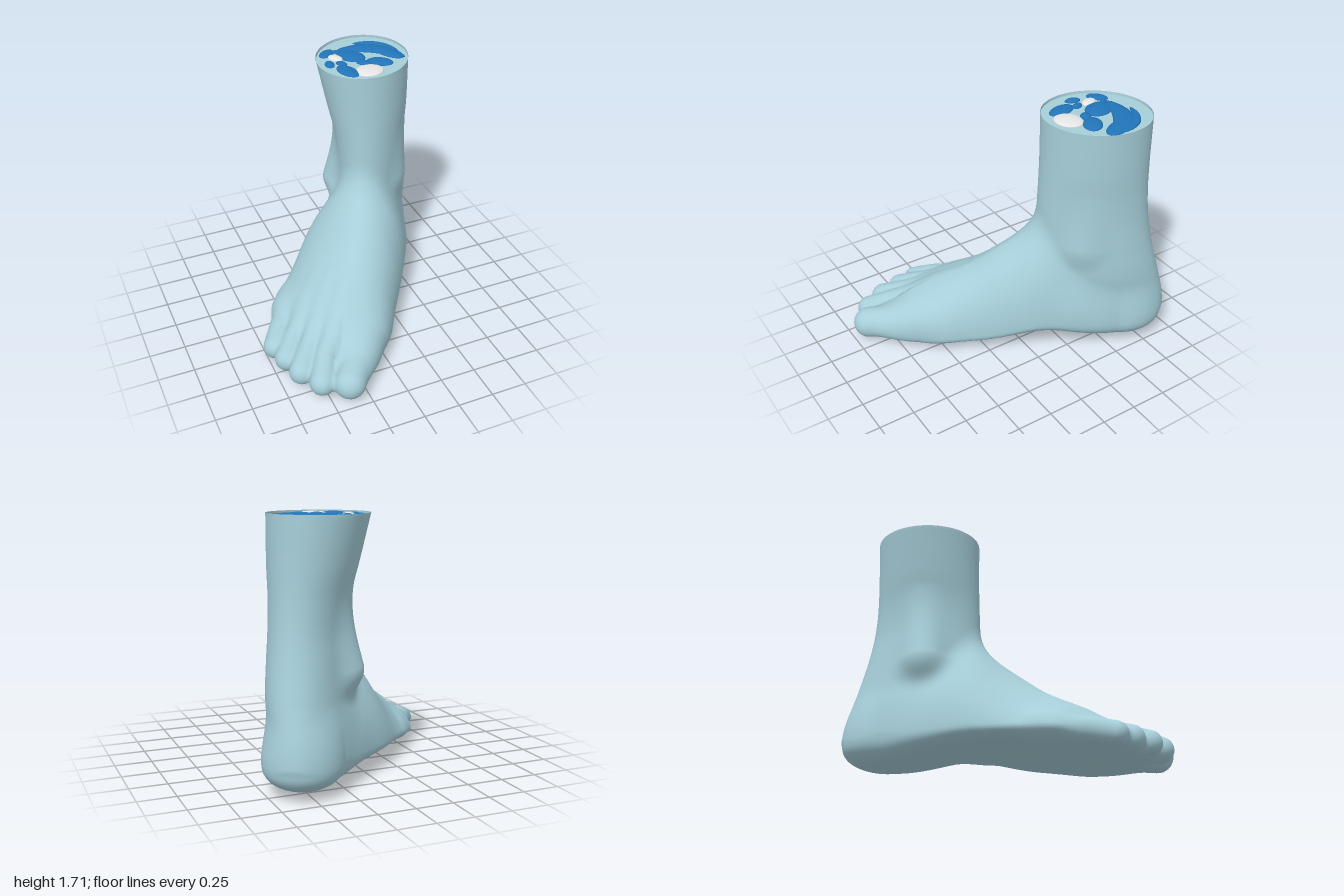
import * as THREE from 'three';

// The foot is shaped in its own frame (x = inner side, y = up, z = toward the toes),
// then turned to point diagonally.
const TURN = -0.609;
const TOP = 1.71;
const CUT = 1.692;

const skin = new THREE.MeshStandardMaterial({ color: 0xa6ced9, side: THREE.DoubleSide });
skin.name = 'skin';
const muscle = new THREE.MeshStandardMaterial({ color: 0x2174b8 });
muscle.name = 'muscleBlue';
const bone = new THREE.MeshStandardMaterial({ color: 0xe6e6e6 });
bone.name = 'boneWhite';

// Smooth curve through [position, value] pairs, constant past its ends
function profile(pts) {
  const n = pts.length - 1;
  const slope = pts.map((_, i) => {
    const a = pts[Math.max(0, i - 1)], b = pts[Math.min(n, i + 1)];
    return (b[1] - a[1]) / (b[0] - a[0]);
  });
  return (x) => {
    if (x <= pts[0][0]) return pts[0][1];
    if (x >= pts[n][0]) return pts[n][1];
    let i = 0;
    while (x > pts[i + 1][0]) i++;
    const w = pts[i + 1][0] - pts[i][0], t = (x - pts[i][0]) / w, t2 = t * t, t3 = t2 * t;
    return (2 * t3 - 3 * t2 + 1) * pts[i][1] + (t3 - 2 * t2 + t) * w * slope[i]
      + (3 * t2 - 2 * t3) * pts[i + 1][1] + (t3 - t2) * w * slope[i + 1];
  };
}

function blend(a, b, k) {
  const h = Math.max(k - Math.abs(a - b), 0) / k;
  return Math.min(a, b) - h * h * k / 4;
}

// Foot outline, instep and sole along the length
const inner = profile([[-0.85, 0.27], [-0.7, 0.31], [-0.5, 0.35], [-0.2, 0.375], [0.2, 0.38], [0.43, 0.39], [0.6, 0.36], [1, 0.33]]);
const outer = profile([[-0.85, -0.25], [-0.53, -0.34], [-0.28, -0.42], [-0.05, -0.455], [0.2, -0.49], [0.33, -0.5], [0.5, -0.46], [0.8, -0.45]]);
const ridge = profile([[-0.85, 0], [-0.3, 0.04], [0.2, 0.06], [0.8, 0.09]]);
const instep = profile([[-1.1, 0.52], [-0.8, 0.6], [-0.5, 0.72], [-0.25, 0.8], [-0.05, 0.735], [0.2, 0.565], [0.45, 0.435], [0.68, 0.33], [0.85, 0.25], [1, 0.2]]);
const widest = profile([[-0.85, 0.2], [-0.3, 0.17], [0.2, 0.13], [0.6, 0.11], [1, 0.1]]);
const sole = profile([[-1.1, 0.03], [-0.8, 0.03], [-0.3, 0.06], [0.2, 0.035], [0.55, 0], [1, 0.03]]);

function footBody(v, y, u) {
  const c = ridge(u), dv = v - c;
  const side = THREE.MathUtils.smoothstep(v, -0.32, 0.4);
  const arch = side * Math.exp(-(((u + 0.33) / 0.3) ** 2));
  const mid = widest(u) + 0.08 * arch, low = sole(u) + 0.07 * arch;
  const heel = Math.max(0, -0.85 - u), front = Math.max(0, u - 0.42 * v - 0.48);
  const s = Math.hypot(dv / (dv > 0 ? inner(u) - c : c - outer(u)), heel / 0.32, front / 0.4);
  const dy = y - mid;
  const t = dy > 0 ? dy / (instep(u) - mid) : -dy / (mid - low);
  const p = dy < 0 ? 2.4 : dv > 0 ? 2 : 2 - 0.7 * THREE.MathUtils.smoothstep(u, -0.6, 0.1);
  const k = (s ** p + t ** p) ** (1 / p) + 1e-4;
  return (Math.hypot(dv, dy, heel, front) + 1e-4) * (1 - 1 / k);
}

// Oval leg sections by height
const legU = profile([[0.2, -0.69], [0.4, -0.677], [0.6, -0.66], [0.8, -0.645], [1, -0.628], [1.2, -0.6225], [1.4, -0.623], [TOP, -0.624]]);
const legV = profile([[0.2, 0], [0.4, 0.01], [0.6, 0.03], [0.8, 0.035], [1, 0.035], [1.2, 0.023], [1.4, 0.001], [TOP, -0.035]]);
const legA = profile([[0.2, 0.45], [0.4, 0.465], [0.6, 0.435], [0.8, 0.4], [1, 0.38], [1.2, 0.368], [1.4, 0.364], [TOP, 0.366]]);
const legB = profile([[0.2, 0.22], [0.4, 0.245], [0.6, 0.25], [0.8, 0.245], [1, 0.24], [1.2, 0.253], [1.4, 0.284], [TOP, 0.323]]);

function leg(v, y, u) {
  const du = u - legU(y), dv = v - legV(y);
  const k = Math.hypot(du / legA(y), dv / legB(y)) + 1e-4;
  return Math.max((Math.hypot(du, dv) + 1e-4) * (1 - 1 / k), 0.25 - y);
}

// Rounded, tapering segment between two [v, y, u, radius] joints
function segment(v, y, u, a, b) {
  const x = b[0] - a[0], h = b[1] - a[1], z = b[2] - a[2];
  const t = THREE.MathUtils.clamp(((v - a[0]) * x + (y - a[1]) * h + (u - a[2]) * z) / (x * x + h * h + z * z), 0, 1);
  return Math.hypot(v - a[0] - t * x, y - a[1] - t * h, u - a[2] - t * z) - a[3] - t * (b[3] - a[3]);
}

// Toes from metatarsal root to knuckle to tip, big toe first
const toes = [
  [[0.215, 0.19, 0.5, 0.14], [0.21, 0.14, 0.78, 0.112], [0.205, 0.118, 0.94, 0.108]],
  [[0.05, 0.385, 0.35, 0.06], [0.01, 0.17, 0.78, 0.08], [0.025, 0.105, 0.96, 0.088]],
  [[-0.06, 0.38, 0.25, 0.06], [-0.12, 0.16, 0.71, 0.08], [-0.135, 0.1, 0.885, 0.086]],
  [[-0.14, 0.36, 0.15, 0.06], [-0.25, 0.145, 0.62, 0.08], [-0.265, 0.095, 0.775, 0.085]],
  [[-0.38, 0.14, 0.2, 0.09], [-0.375, 0.12, 0.52, 0.085], [-0.375, 0.09, 0.675, 0.082]],
];
const outerAnkle = [[-0.11, 1.18, -0.62, 0.07], [-0.195, 0.73, -0.595, 0.122]];
const innerAnkle = [[0.12, 1.15, -0.6, 0.08], [0.155, 0.82, -0.57, 0.11]];

function field(v, y, u) {
  // A wide fillet where the instep meets the shin, a tight one behind
  const fillet = 0.08 + 0.2 * THREE.MathUtils.smoothstep(u, -0.55, -0.2);
  let d = blend(footBody(v, y, u), leg(v, y, u), fillet);
  d = blend(d, segment(v, y, u, ...outerAnkle), 0.14);
  d = blend(d, segment(v, y, u, ...innerAnkle), 0.12);
  let toeD = 1;
  for (const [root, knuckle, tip] of toes) {
    const one = Math.min(segment(v, y, u, root, knuckle), segment(v, y, u, knuckle, tip));
    toeD = blend(toeD, one, 0.035);
  }
  return blend(d, toeD, 0.07);
}

// Wraps a smooth skin of quads around the region where the field is negative
function skinGeometry() {
  const h = 0.018, min = [-0.6, -0.05, -1.26];
  const n = [62, 101, 134], step = [1, n[0], n[0] * n[1]];
  const values = new Float32Array(n[0] * n[1] * n[2]);
  const at = (i, j, k) => i + j * step[1] + k * step[2];
  const each = (cut, fn) => {
    for (let k = 0; k < n[2] - cut; k++)
      for (let j = 0; j < n[1] - cut; j++)
        for (let i = 0; i < n[0] - cut; i++) fn(i, j, k, at(i, j, k));
  };
  each(0, (i, j, k, id) => { values[id] = field(min[0] + i * h, min[1] + j * h, min[2] + k * h); });

  const pos = [], nor = [], index = [], vertexOf = new Int32Array(values.length).fill(-1);
  const normal = new THREE.Vector3(), e = 0.012;
  each(1, (i, j, k, id) => {
    const sum = [0, 0, 0];
    let count = 0;
    for (let c = 0; c < 8; c++) for (let a = 0; a < 3; a++) {
      if (c >> a & 1) continue;
      const o = [c & 1, c >> 1 & 1, c >> 2 & 1];
      const p = id + at(...o), f = values[p], g = values[p + step[a]];
      if ((f < 0) === (g < 0)) continue;
      o[a] += f / (f - g);
      for (let q = 0; q < 3; q++) sum[q] += o[q];
      count++;
    }
    if (!count) return;
    const [x, y, z] = [i, j, k].map((g, q) => min[q] + (g + sum[q] / count) * h);
    normal.set(field(x + e, y, z) - field(x - e, y, z), field(x, y + e, z) - field(x, y - e, z),
      field(x, y, z + e) - field(x, y, z - e)).normalize();
    vertexOf[id] = pos.length / 3;
    pos.push(x, THREE.MathUtils.clamp(y, 0, TOP), z);
    nor.push(normal.x, normal.y, normal.z);
  });
  each(1, (i, j, k, id) => {
    const g = [i, j, k];
    for (let a = 0; a < 3; a++) {
      const b = (a + 1) % 3, c = (a + 2) % 3, inside = values[id] < 0;
      if (!g[b] || !g[c] || inside === (values[id + step[a]] < 0)) continue;
      const q = [id - step[b] - step[c], id - step[c], id, id - step[b]].map((s) => vertexOf[s]);
      if (!inside) q.reverse();
      index.push(q[0], q[1], q[2], q[0], q[2], q[3]);
    }
  });
  const geo = new THREE.BufferGeometry();
  geo.setAttribute('position', new THREE.Float32BufferAttribute(pos, 3));
  geo.setAttribute('normal', new THREE.Float32BufferAttribute(nor, 3));
  geo.setIndex(index);
  return geo.rotateY(TURN);
}

// Low dome on the cut, optionally bent into a crescent
function dome(x, z, rx, rz, degrees = 0, bend = 0) {
  const geo = new THREE.SphereGeometry(1, 24, 12), p = geo.attributes.position;
  for (let i = 0; i < p.count; i++) {
    const px = p.getX(i);
    p.setXYZ(i, px * rx, p.getY(i) * (TOP - CUT), p.getZ(i) * rz + bend * px * px);
  }
  geo.computeVertexNormals();
  return geo.rotateY(-degrees * Math.PI / 180).translate(x, CUT, z);
}

export function createModel() {
  const model = new THREE.Group();
  model.name = 'foot';
  const add = (name, geo, mat) => {
    const mesh = new THREE.Mesh(geo, mat);
    mesh.name = name;
    model.add(mesh);
  };

  add('footAndLeg', skinGeometry(), skin);

  // Flat cut across the leg
  const cut = new THREE.CircleGeometry(1, 64).rotateX(-Math.PI / 2);
  cut.scale(legB(CUT), 1, legA(CUT)).translate(legV(CUT), CUT, legU(CUT)).rotateY(TURN);
  add('legCut', cut, skin);

  // Muscles and tendons: x, z, half length, half width, turn, bend
  [
    [0.46, -0.65, 0.25, 0.07, 34, 0.09], [0.54, -0.54, 0.125, 0.06, 65],
    [0.53, -0.695, 0.18, 0.03, 46, 0.06], [0.27, -0.59, 0.11, 0.085, 60],
    [0.125, -0.69, 0.075, 0.045, -40], [0.2, -0.685, 0.035, 0.022, 50],
    [0.08, -0.52, 0.055, 0.034, 100], [0.16, -0.5, 0.045, 0.03, 60],
    [0.155, -0.375, 0.105, 0.06, 75], [0.31, -0.455, 0.055, 0.037, 40],
    [0.42, -0.43, 0.095, 0.065, 35],
  ].forEach((d, i) => add('muscle' + (i + 1), dome(...d), muscle));

  add('shinBone', dome(0.295, -0.33, 0.105, 0.09, -15), bone);
  add('calfBone', dome(0.155, -0.6, 0.062, 0.042, 65), bone);
  return model;
}
